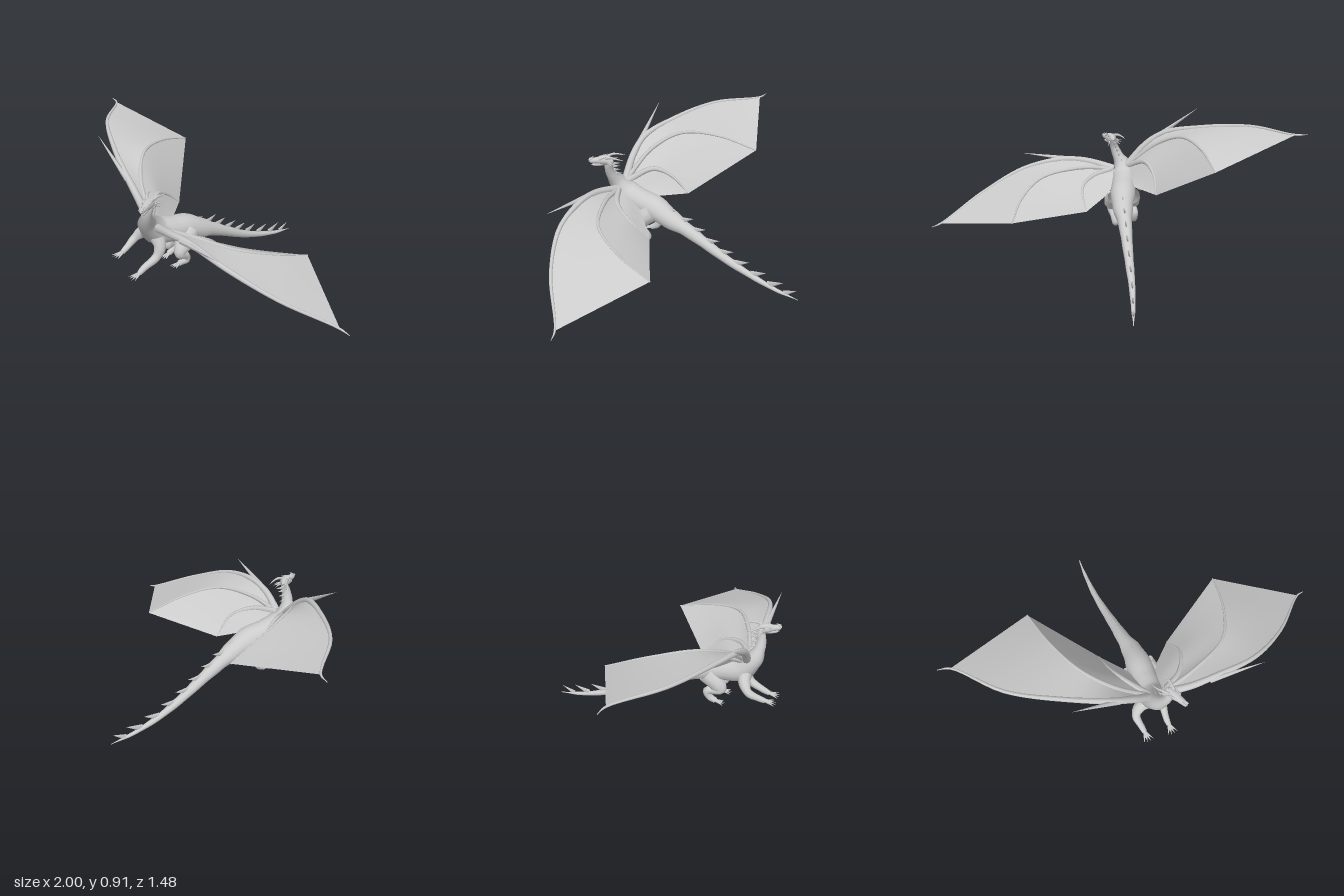
import * as THREE from 'three';

const skin = new THREE.MeshStandardMaterial({ color: 0xcccccc, side: THREE.DoubleSide });
const V = (p) => new THREE.Vector3(p[0], p[1], p[2]);
const curveOf = (pts) => new THREE.CatmullRomCurve3(pts.map(V));

function add(group, name, geometry) {
  const mesh = new THREE.Mesh(geometry, skin);
  mesh.name = name;
  group.add(mesh);
  return mesh;
}

// Tapered tube: every point is [x, y, z, radius]
function limb(group, name, pts, sides = 10, steps = 6) {
  const curve = curveOf(pts);
  curve.getPointAt = curve.getPoint;
  curve.getTangentAt = curve.getTangent;
  const n = (pts.length - 1) * steps;
  const geo = new THREE.TubeGeometry(curve, n, 1, sides);
  const pos = geo.attributes.position;
  const v = new THREE.Vector3();
  for (let i = 0; i <= n; i++) {
    const c = curve.getPoint(i / n);
    const k = Math.min(Math.floor(i / steps), pts.length - 2);
    const r = THREE.MathUtils.lerp(pts[k][3], pts[k + 1][3], THREE.MathUtils.smoothstep(i / steps - k, 0, 1));
    for (let j = 0; j <= sides; j++) {
      const id = i * (sides + 1) + j;
      v.fromBufferAttribute(pos, id).sub(c).multiplyScalar(r).add(c);
      pos.setXYZ(id, v.x, v.y, v.z);
    }
  }
  add(group, name, geo);
  return curve;
}

// Pointed cone from base to tip, thinned sideways by flat
function spike(group, name, base, tip, radius, flat = 1) {
  const dir = tip.clone().sub(base);
  const length = dir.length();
  const geo = new THREE.ConeGeometry(radius, length, 6).translate(0, length / 2, 0).scale(flat, 1, 1);
  const y = dir.normalize();
  const x = new THREE.Vector3(0, 1, 0).cross(y).normalize();
  const z = x.clone().cross(y);
  geo.applyMatrix4(new THREE.Matrix4().makeBasis(x, y, z).setPosition(base));
  add(group, name, geo);
}

// Skin stretched between two curves
function membrane(group, name, a, b, across = 5, along = 14) {
  const ca = curveOf(a), cb = curveOf(b), pos = [], idx = [];
  for (let i = 0; i <= along; i++) {
    for (let j = 0; j <= across; j++) {
      const p = ca.getPointAt(i / along).lerp(cb.getPointAt(i / along), j / across);
      pos.push(p.x, p.y, p.z);
      if (i < along && j < across) {
        const q = i * (across + 1) + j, r = q + across + 1;
        idx.push(q, r, q + 1, q + 1, r, r + 1);
      }
    }
  }
  const geo = new THREE.BufferGeometry();
  geo.setAttribute('position', new THREE.Float32BufferAttribute(pos, 3));
  geo.setIndex(idx);
  geo.computeVertexNormals();
  add(group, name, geo);
}

const withRadius = (pts, r0, r1) => pts.map((p, i) => [...p, r0 + (r1 - r0) * i / (pts.length - 1)]);

// Arm bone, two trailing fingers, membranes and the wrist spike
function wing(name, w) {
  const g = new THREE.Group();
  g.name = name;
  limb(g, 'leadingBone', withRadius(w.lead, 0.026, 0.002), 8);
  limb(g, 'middleFinger', withRadius(w.middle, 0.016, 0.004), 6);
  limb(g, 'innerFinger', withRadius(w.inner, 0.022, 0.003), 6);
  membrane(g, 'outerMembrane', w.lead.slice(0, -1), w.middle);
  membrane(g, 'middleMembrane', w.middle, w.inner);
  membrane(g, 'innerMembrane', w.inner, w.body);
  spike(g, 'wristSpike', V(w.spike[0]), V(w.spike[1]), 0.018);
  return g;
}

// Leg with a fan of clawed toes at its end
function leg(name, pts, heading, toeLength) {
  const g = new THREE.Group();
  g.name = name;
  limb(g, 'legBone', pts);
  const end = V(pts[pts.length - 1]);
  for (let i = -1.5; i <= 1.5; i++) {
    const dir = V(heading).normalize().applyAxisAngle(new THREE.Vector3(0, 1, 0), i * 0.32);
    spike(g, 'toe', end.clone().addScaledVector(dir, -0.012), end.clone().addScaledVector(dir, toeLength), 0.013);
  }
  return g;
}

export function createModel() {
  const model = new THREE.Group();

  // Neck, trunk and tail in one sweep
  const spine = [
    [-0.208, 0.695, 0.45, 0.018], [-0.22, 0.65, 0.463, 0.027], [-0.24, 0.59, 0.452, 0.034],
    [-0.258, 0.525, 0.415, 0.056], [-0.24, 0.46, 0.35, 0.083], [-0.19, 0.43, 0.26, 0.078],
    [-0.14, 0.41, 0.17, 0.08], [-0.09, 0.36, 0.07, 0.064], [-0.05, 0.305, -0.04, 0.043],
    [0.0, 0.23, -0.17, 0.033], [0.05, 0.155, -0.3, 0.026], [0.11, 0.085, -0.45, 0.019],
    [0.18, 0.035, -0.6, 0.012], [0.245, 0.012, -0.73, 0.002],
  ];
  const spineCurve = limb(model, 'bodyAndTail', spine, 16);
  const last = spine.length - 1;

  // Fins along the tail, leaning back
  for (let k = 7.6; k < 13; k += 0.68) {
    const p = spineCurve.getPoint(k / last), t = spineCurve.getTangent(k / last);
    const r = THREE.MathUtils.lerp(spine[Math.floor(k)][3], spine[Math.floor(k) + 1][3], k % 1);
    const s = k > 12 ? 0.8 : 1;
    p.y += r * 0.75;
    spike(model, 'tailFin', p, p.clone().addScaledVector(t, 0.1 * s).add(V([0, 0.068 * s, 0])), 0.024 * s, 0.3);
  }
  // Small fins down the back of the neck
  for (let k = 0.5; k < 3.4; k += 0.48) {
    const p = spineCurve.getPoint(k / last);
    p.z -= 0.018;
    spike(model, 'neckFin', p, p.clone().add(V([0.015, 0.012, -0.055])), 0.014, 0.4);
  }
  // Low ridge on the back
  for (let k = 4; k < 7.5; k += 0.5) {
    const p = spineCurve.getPoint(k / last);
    p.y += 0.065;
    spike(model, 'backFin', p, p.clone().addScaledVector(spineCurve.getTangent(k / last), 0.04).add(V([0, 0.014, 0])), 0.014, 0.4);
  }

  // Head with jaw, brows, horns and cheek spikes
  const head = new THREE.Group();
  head.name = 'head';
  limb(head, 'skull', [[-0.208, 0.695, 0.435, 0.004], [-0.207, 0.698, 0.46, 0.029], [-0.206, 0.7, 0.495, 0.03],
    [-0.205, 0.696, 0.535, 0.02], [-0.204, 0.693, 0.572, 0.016], [-0.204, 0.69, 0.586, 0.002]]);
  limb(head, 'jaw', [[-0.207, 0.685, 0.465, 0.016], [-0.206, 0.673, 0.51, 0.013], [-0.204, 0.668, 0.55, 0.01], [-0.204, 0.668, 0.572, 0.002]]);
  for (const s of [-1, 1]) {
    limb(head, 'horn', [[-0.207 + s * 0.016, 0.715, 0.475, 0.01], [-0.207 + s * 0.03, 0.727, 0.44, 0.008],
      [-0.207 + s * 0.042, 0.723, 0.4, 0.005], [-0.207 + s * 0.045, 0.716, 0.36, 0.001]], 6);
    for (const [y, z, out] of [[0.705, 0.4, 0.04], [0.682, 0.41, 0.05], [0.66, 0.425, 0.045]])
      spike(head, 'cheekSpike', V([-0.207 + s * 0.018, 0.69, 0.465]), V([-0.207 + s * out, y, z]), 0.009);
    spike(head, 'brow', V([-0.206 + s * 0.018, 0.71, 0.515]), V([-0.206 + s * 0.028, 0.732, 0.465]), 0.01);
    spike(head, 'nostrilRidge', V([-0.204 + s * 0.008, 0.7, 0.58]), V([-0.204 + s * 0.009, 0.722, 0.55]), 0.008);
  }
  model.add(head);

  // The banking pose gives each side its own path
  model.add(wing('rightWing', {
    lead: [[-0.27, 0.53, 0.37], [-0.38, 0.67, 0.325], [-0.48, 0.755, 0.26], [-0.65, 0.815, 0.08],
      [-0.84, 0.86, -0.18], [-0.945, 0.867, -0.49], [-1.0, 0.873, -0.535]],
    middle: [[-0.27, 0.54, 0.36], [-0.4, 0.7, 0.21], [-0.47, 0.785, 0.02], [-0.465, 0.77, -0.22], [-0.415, 0.7, -0.46]],
    inner: [[-0.265, 0.53, 0.36], [-0.31, 0.6, 0.19], [-0.305, 0.55, 0.07], [-0.27, 0.45, -0.035]],
    body: [[-0.25, 0.53, 0.36], [-0.24, 0.49, 0.27], [-0.22, 0.45, 0.16]],
    spike: [[-0.44, 0.72, 0.295], [-0.69, 0.917, 0.18]],
  }));
  model.add(wing('leftWing', {
    lead: [[-0.19, 0.51, 0.41], [-0.06, 0.55, 0.51], [0.08, 0.565, 0.58], [0.33, 0.515, 0.67],
      [0.62, 0.395, 0.67], [0.94, 0.25, 0.59], [0.995, 0.23, 0.6]],
    middle: [[-0.18, 0.51, 0.41], [0.03, 0.53, 0.455], [0.29, 0.505, 0.455], [0.48, 0.44, 0.32], [0.62, 0.36, 0.125]],
    inner: [[-0.18, 0.51, 0.405], [-0.03, 0.485, 0.39], [0.08, 0.44, 0.31], [0.11, 0.33, 0.18]],
    body: [[-0.19, 0.51, 0.39], [-0.15, 0.47, 0.33], [-0.12, 0.42, 0.26]],
    spike: [[0.03, 0.56, 0.57], [0.325, 0.595, 0.745]],
  }));

  // Arms and hind legs
  model.add(leg('rightArm', [[-0.28, 0.45, 0.36, 0.045], [-0.335, 0.42, 0.345, 0.036], [-0.38, 0.375, 0.36, 0.025],
    [-0.4, 0.34, 0.42, 0.019], [-0.41, 0.325, 0.455, 0.016]], [-0.4, -0.15, 1], 0.07));
  model.add(leg('leftArm', [[-0.21, 0.44, 0.39, 0.045], [-0.19, 0.38, 0.4, 0.036], [-0.205, 0.32, 0.42, 0.026],
    [-0.25, 0.275, 0.49, 0.02], [-0.265, 0.255, 0.525, 0.016]], [-0.4, -0.2, 1], 0.07));
  model.add(leg('leftHindLeg', [[-0.1, 0.4, 0.18, 0.06], [-0.105, 0.35, 0.245, 0.057], [-0.12, 0.29, 0.28, 0.036],
    [-0.105, 0.245, 0.225, 0.022], [-0.11, 0.21, 0.215, 0.023], [-0.135, 0.205, 0.265, 0.018]], [-0.4, -0.1, 1], 0.06));
  model.add(leg('rightHindLeg', [[-0.19, 0.4, 0.15, 0.058], [-0.225, 0.34, 0.21, 0.05], [-0.23, 0.3, 0.23, 0.035],
    [-0.215, 0.285, 0.15, 0.024], [-0.22, 0.24, 0.165, 0.022], [-0.235, 0.215, 0.2, 0.018]], [-0.4, -0.25, 1], 0.06));

  return model;
}
